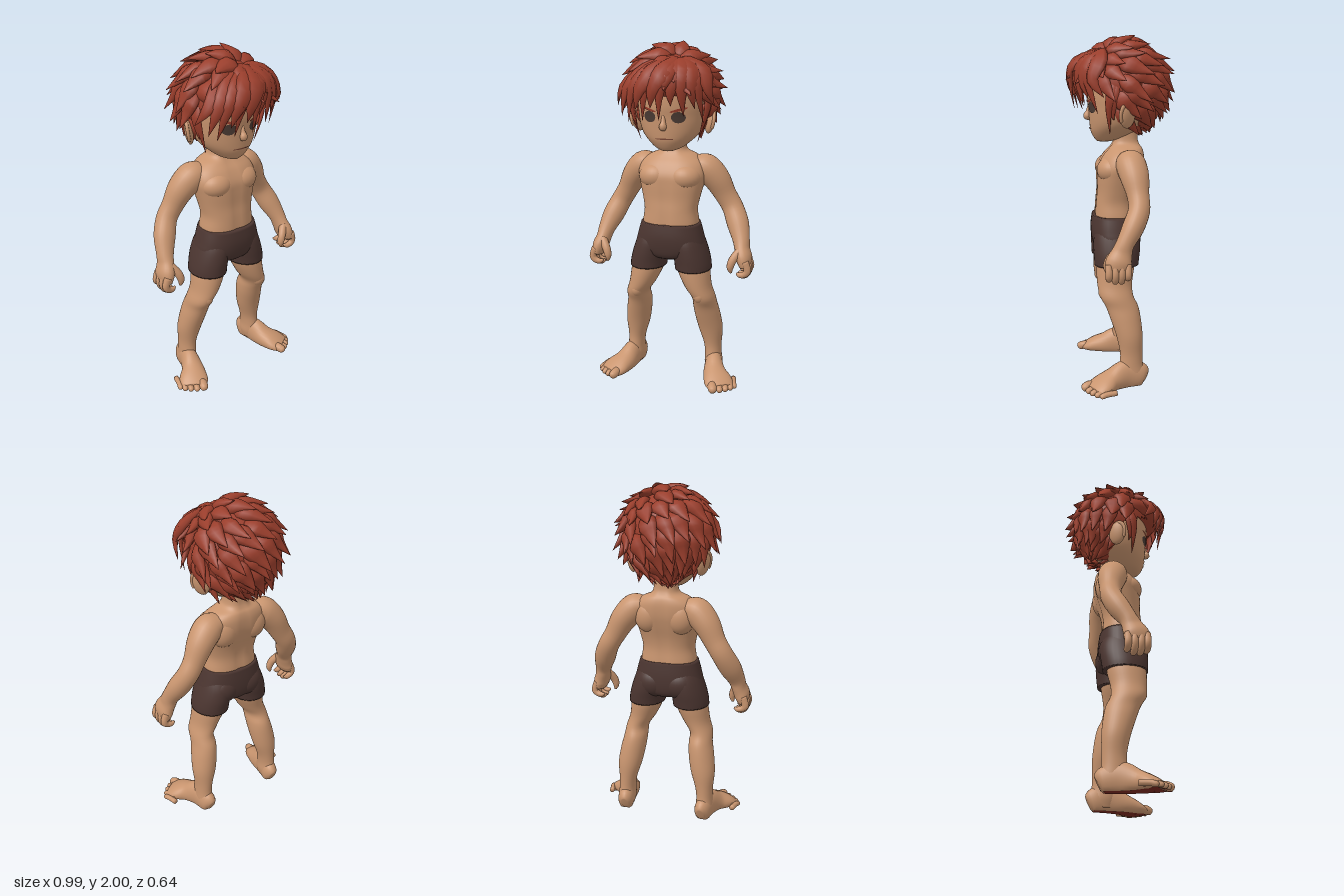
import * as THREE from 'three';
import { mergeGeometries, mergeVertices } from 'three/addons/utils/BufferGeometryUtils.js';

const V = (x, y, z) => new THREE.Vector3(x, y, z);
const mat = (name, color, side = THREE.FrontSide) => {
  const m = new THREE.MeshStandardMaterial({ color, side });
  m.name = name;
  return m;
};

// Catmull-Rom interpolation of rows of numbers
function smooth(rows, k) {
  const out = [], at = (i) => rows[Math.min(Math.max(i, 0), rows.length - 1)];
  for (let i = 0; i < rows.length - 1; i++) {
    for (let s = 0; s < k; s++) {
      const t = s / k;
      out.push(at(i).map((b, j) => {
        const a = at(i - 1)[j], c = at(i + 1)[j], d = at(i + 2)[j];
        return 0.5 * (2 * b + (c - a) * t + (2 * a - 5 * b + 4 * c - d) * t * t + (3 * b - a - 3 * c + d) * t ** 3);
      }));
    }
  }
  out.push(rows[rows.length - 1]);
  return out;
}

// Closed skin over rings of points
function skin(rings) {
  const n = rings[0].length, last = rings.length - 1, pts = rings.flat(), idx = [];
  const mid = (r) => r.reduce((s, p) => s.add(p), V(0, 0, 0)).divideScalar(n);
  pts.push(mid(rings[0]), mid(rings[last]));
  for (let j = 0; j < n; j++) {
    const k = (j + 1) % n;
    for (let i = 0; i < last; i++) {
      const a = i * n + j, b = i * n + k;
      idx.push(a, b, a + n, b, b + n, a + n);
    }
    idx.push(pts.length - 2, k, j, pts.length - 1, last * n + j, last * n + k);
  }
  const g = new THREE.BufferGeometry().setFromPoints(pts);
  g.setIndex(idx);
  g.computeVertexNormals();
  return g;
}

// Level rings, rows: [y, centre x, half width, front z, back z]
function loft(rows, { n = 32, groove = 0, power = 1 } = {}) {
  return skin(smooth([...rows].sort((a, b) => a[0] - b[0]), 4).map(([y, cx, rx, zf, zb]) =>
    Array.from({ length: n }, (_, j) => {
      const t = (j / n) * Math.PI * 2, pw = (v) => Math.sign(v) * Math.abs(v) ** power;
      const x = rx * pw(Math.sin(t));
      const dip = 1 - groove * Math.exp(-((x / 0.025) ** 2));
      return V(cx + x, y, (zf + zb) / 2 + ((zf - zb) / 2) * pw(Math.cos(t)) * dip);
    })));
}

// Rings across a path, rows: [x, y, z, half width, half height]
function tube(rows, ref, n = 16, k = 4) {
  const r = smooth(rows, k), p = r.map((q) => V(q[0], q[1], q[2]));
  return skin(r.map((q, i) => {
    const T = p[Math.min(i + 1, p.length - 1)].clone().sub(p[Math.max(i - 1, 0)]).normalize();
    const side = T.clone().cross(ref).normalize(), up = side.clone().cross(T);
    return Array.from({ length: n }, (_, j) => {
      const t = (j / n) * Math.PI * 2;
      return p[i].clone().addScaledVector(side, q[3] * Math.sin(t)).addScaledVector(up, q[4] * Math.cos(t));
    });
  }));
}

const ball = (x, y, z, rx, ry, rz) => new THREE.SphereGeometry(1, 28, 18).scale(rx, ry, rz).translate(x, y, z);

function mirrored(geo) {
  const g = mergeVertices(geo.clone()).scale(-1, 1, 1), a = g.index.array;
  for (let i = 0; i < a.length; i += 3) [a[i], a[i + 1]] = [a[i + 1], a[i]];
  return g;
}

export function createModel() {
  const group = new THREE.Group();
  const skinMat = mat('skin', 0xc9956f), hairMat = mat('red hair', 0x9a3e2c, THREE.DoubleSide);
  const shortsMat = mat('dark brown cloth', 0x4b3530), eyeMat = mat('dark eyes', 0x4a3a33, THREE.DoubleSide);
  const soleMat = mat('dark red soles', 0x7a2a20), lipMat = mat('mouth line', 0x7d4a38, THREE.DoubleSide);
  const add = (name, geo, m) => {
    const mesh = new THREE.Mesh(geo, m);
    mesh.name = name;
    group.add(mesh);
  };
  const pair = (name, geo, m) => {
    add(name + 'Left', geo, m);
    add(name + 'Right', mirrored(geo), m);
  };

  // Torso and neck
  add('torso', loft([[0.9, 0, 0.16, 0.158, -0.08], [0.97, 0, 0.166, 0.16, -0.08], [1.05, 0, 0.156, 0.155, -0.075],
    [1.12, 0, 0.168, 0.148, -0.085], [1.2, 0, 0.188, 0.148, -0.11], [1.26, 0, 0.2, 0.143, -0.125],
    [1.32, 0, 0.185, 0.112, -0.128], [1.36, 0, 0.14, 0.078, -0.12], [1.385, 0, 0.085, 0.06, -0.105],
    [1.42, 0, 0.068, 0.05, -0.095], [1.5, 0, 0.066, 0.05, -0.095]], { n: 48, groove: 0.06, power: 0.85 }), skinMat);
  pair('chestMuscle', ball(0.085, 1.245, 0.06, 0.1, 0.078, 0.09), skinMat);
  pair('shoulderBlade', ball(0.095, 1.25, -0.055, 0.085, 0.1, 0.071), skinMat);

  // Shorts
  add('shortsHips', loft([[0.755, 0, 0.06, 0.11, -0.05], [0.78, 0, 0.14, 0.158, -0.085], [0.83, 0, 0.205, 0.177, -0.098],
    [0.9, 0, 0.195, 0.184, -0.098], [0.975, 0, 0.174, 0.175, -0.09]], { n: 40, power: 0.85 }), shortsMat);
  pair('shortsLeg', loft([[0.7, 0.138, 0.108, 0.17, -0.085], [0.74, 0.134, 0.108, 0.172, -0.09],
    [0.8, 0.122, 0.105, 0.174, -0.097], [0.87, 0.105, 0.098, 0.168, -0.092], [0.94, 0.09, 0.085, 0.14, -0.06]]), shortsMat);
  pair('buttock', ball(0.08, 0.84, -0.03, 0.1, 0.09, 0.074), shortsMat);

  // Legs
  pair('leg', loft([[0.8, 0.125, 0.085, 0.15, -0.06], [0.7, 0.14, 0.096, 0.16, -0.062], [0.6, 0.17, 0.08, 0.157, -0.045],
    [0.53, 0.203, 0.068, 0.144, -0.048], [0.47, 0.207, 0.071, 0.112, -0.075], [0.4, 0.217, 0.076, 0.086, -0.09],
    [0.3, 0.233, 0.073, 0.053, -0.1], [0.2, 0.245, 0.054, 0.032, -0.098], [0.13, 0.25, 0.05, 0.035, -0.1],
    [0.07, 0.25, 0.052, 0.04, -0.113], [0.02, 0.25, 0.04, 0.03, -0.1]]), skinMat);
  pair('kneecap', ball(0.195, 0.55, 0.09, 0.045, 0.055, 0.062), skinMat);

  // Feet, flattened on the ground, with the flat underside as the sole
  const toes = [[0.31, 0.234, 0.026], [0.348, 0.218, 0.019], [0.378, 0.197, 0.018], [0.403, 0.172, 0.017], [0.42, 0.145, 0.016]];
  const foot = mergeGeometries([
    tube([[0.243, 0.045, -0.118, 0.022, 0.04], [0.246, 0.055, -0.09, 0.047, 0.075], [0.262, 0.068, 0, 0.053, 0.09],
      [0.285, 0.05, 0.08, 0.068, 0.066], [0.317, 0.036, 0.135, 0.085, 0.05], [0.338, 0.026, 0.17, 0.084, 0.037],
      [0.354, 0.018, 0.195, 0.073, 0.024]], V(0, 1, 0), 28),
    ...toes.map(([x, z, r]) => tube([[x * 0.85 + 0.042, 0.022, z - 0.08, r, r], [x - 0.008, r + 0.005, z - 0.025, r, r],
      [x, r - 0.001, z, r, r], [x + 0.003, r - 0.004, z + r * 0.7, r * 0.75, r * 0.75],
      [x + 0.004, r - 0.006, z + r, r * 0.2, r * 0.2]], V(0, 1, 0), 14))]);
  const fp = foot.attributes.position, upper = [], under = [];
  for (let i = 0; i < fp.count; i++) fp.setY(i, Math.max(fp.getY(i), 0.003));
  for (let i = 0; i < foot.index.count; i += 3) {
    const tri = [0, 1, 2].map((k) => foot.index.getX(i + k));
    (tri.every((v) => fp.getY(v) < 0.004) ? under : upper).push(...tri);
  }
  foot.setIndex([...upper, ...under]);
  foot.addGroup(0, upper.length, 0);
  foot.addGroup(upper.length, under.length, 1);
  foot.computeVertexNormals();
  pair('foot', foot, [skinMat, soleMat]);

  // Arms and half-curled hands
  const zAxis = V(0, 0, 1);
  pair('arm', tube([[0.09, 1.315, -0.03, 0.03, 0.05], [0.14, 1.305, -0.032, 0.062, 0.072], [0.19, 1.284, -0.035, 0.083, 0.085],
    [0.25, 1.22, -0.05, 0.077, 0.08], [0.3, 1.13, -0.062, 0.064, 0.062], [0.345, 1.055, -0.062, 0.062, 0.06],
    [0.385, 0.97, -0.025, 0.064, 0.06], [0.415, 0.89, 0.02, 0.05, 0.05], [0.427, 0.84, 0.04, 0.044, 0.058],
    [0.443, 0.79, 0.058, 0.046, 0.072], [0.452, 0.745, 0.062, 0.032, 0.066]], zAxis, 24), skinMat);
  const fingers = [0, 1, 2, 3].map((i) => {
    const z = 0.112 - 0.034 * i, l = [0.012, 0, 0, 0.016][i];
    return tube([[0.457, 0.785, z, 0.023, 0.021], [0.473, 0.735, z, 0.022, 0.02], [0.458, 0.697 + l, z, 0.019, 0.019],
      [0.43, 0.69 + l, z - 0.003, 0.016, 0.016], [0.41, 0.7 + l, z - 0.005, 0.006, 0.006]], zAxis, 12);
  });
  fingers.push(tube([[0.425, 0.84, 0.075, 0.026, 0.026], [0.388, 0.79, 0.108, 0.024, 0.024], [0.374, 0.745, 0.116, 0.02, 0.02],
    [0.379, 0.712, 0.112, 0.007, 0.007]], zAxis, 12));
  pair('fingers', mergeGeometries(fingers), skinMat);

  // Head
  const headRows = [[1.402, 0, 0.035, 0.14, 0.06], [1.42, 0, 0.08, 0.158, 0.0], [1.46, 0, 0.13, 0.178, -0.08],
    [1.5, 0, 0.165, 0.184, -0.13], [1.55, 0, 0.186, 0.188, -0.165], [1.6, 0, 0.195, 0.192, -0.185], [1.66, 0, 0.2, 0.2, -0.2],
    [1.75, 0, 0.198, 0.195, -0.2], [1.85, 0, 0.15, 0.15, -0.15], [1.91, 0, 0.05, 0.05, -0.05]];
  add('head', loft(headRows, { n: 48 }), skinMat);
  add('nose', tube([[0, 1.61, 0.18, 0.01, 0.012], [0, 1.57, 0.19, 0.014, 0.016], [0, 1.545, 0.199, 0.022, 0.021],
    [0, 1.528, 0.185, 0.012, 0.008]], zAxis, 14), skinMat);
  pair('ear', ball(0, 0, 0, 0.024, 0.072, 0.05).rotateY(0.55).rotateZ(-0.18).translate(0.213, 1.56, -0.012), skinMat);
  pair('earRim', new THREE.TorusGeometry(0.04, 0.01, 8, 24, Math.PI * 1.35).rotateZ(-0.5).scale(1, 1.45, 1)
    .rotateY(Math.PI / 2 + 0.55).rotateZ(-0.18).translate(0.223, 1.563, -0.006), skinMat);

  // Thin painted patches that follow the face
  const dense = smooth(headRows, 4);
  const patch = (x, y, rx, ry, rot, lift = 0.004) => {
    const g = new THREE.RingGeometry(0.001, 1, 28, 4).scale(rx, ry, 1).rotateZ(rot).translate(x, y, 0), p = g.attributes.position;
    for (let i = 0; i < p.count; i++) {
      const k = Math.max(1, dense.findIndex((r) => r[0] > p.getY(i))), a = dense[k - 1], b = dense[k];
      const f = (p.getY(i) - a[0]) / (b[0] - a[0]), [, , w, zf, zb] = a.map((v, j) => v + (b[j] - v) * f);
      p.setZ(i, (zf + zb) / 2 + ((zf - zb) / 2) * Math.sqrt(Math.max(0, 1 - (p.getX(i) / w) ** 2)) + lift);
    }
    g.computeVertexNormals();
    return g;
  };
  pair('eye', patch(0.082, 1.597, 0.037, 0.031, 0), eyeMat);
  pair('eyebrow', patch(0.085, 1.638, 0.047, 0.007, 0.25, 0.006), hairMat);
  add('mouth', patch(0, 1.476, 0.055, 0.004, 0), lipMat);

  // Hair: scalp shell with a low hairline at the back, fuller under the fringe
  const centre = V(0, 1.72, 0), radii = V(0.24, 0.24, 0.245);
  const shell = new THREE.SphereGeometry(0.95, 48, 20), sp = shell.attributes.position;
  for (let i = 0; i < sp.count; i++) {
    const a = (i % 49) / 48 * Math.PI * 2, t = Math.floor(i / 49) / 20 * (118 - 36 * Math.cos(a)) * Math.PI / 180;
    sp.setXYZ(i, 0.95 * Math.sin(t) * Math.sin(a), 0.95 * Math.cos(t), 0.95 * Math.sin(t) * Math.cos(a));
  }
  shell.scale(radii.x, radii.y, radii.z).translate(centre.x, centre.y, centre.z).computeVertexNormals();
  add('scalpHair', shell, hairMat);
  add('fringeBase', ball(-0.01, 1.79, 0.09, 0.205, 0.1, 0.185), hairMat);

  // Hair: overlapping pointed locks fanning out from the crown
  let seed = 7;
  const rnd = () => (seed = (seed * 16807) % 2147483647) / 2147483647;
  const lock = (pts, w, flat = 0.5) => {
    const prof = [0.7, 1, 0.62, 0.015];
    return tube(pts.map((p, i) => [p.x, p.y, p.z, w * prof[i], w * prof[i] * flat]), pts[1].clone().sub(centre).normalize(), 8, 3);
  };
  const tilt = new THREE.Quaternion().setFromUnitVectors(V(0, 1, 0), V(0.2, 0.86, 0.46).normalize());
  const dir = (t, a) => V(Math.sin(t) * Math.sin(a), Math.cos(t), Math.sin(t) * Math.cos(a)).applyQuaternion(tilt);
  const locks = [];
  [[0.05, 7], [0.35, 11], [0.7, 14], [1.05, 15], [1.4, 16], [1.75, 15], [2.05, 14], [2.35, 13]].forEach(([t0, n], layer) => {
    for (let i = 0; i < n; i++) {
      const a = ((i + (layer % 2) / 2 + rnd() * 0.4) / n) * Math.PI * 2, t = t0 + rnd() * 0.14, len = 0.58 + rnd() * 0.16;
      const out = 1.27 - 0.13 * Math.max(0, dir(t + len, a).y) + rnd() * 0.08;
      const pts = [0.86, 0.99, 1.08, out].map((k, j) =>
        dir(t + (len * j) / 3, a + j * 0.09).multiplyScalar(k).multiply(radii).add(centre));
      const tip = pts[3];
      if ((tip.z > -0.06 && tip.y < 1.6) || (tip.z > 0.09 && tip.y < 1.72) || tip.y < 1.42) continue;
      locks.push(lock(pts, 0.045 + 0.015 * rnd(), 0.6));
    }
  });
  add('hairLocks', mergeGeometries(locks), hairMat);

  // Fringe swept from a parting, rows: [tip x, tip y, tip z, bulge z, half width]
  const fringe = [[-0.28, 1.65, 0.14, 0.2, 0.055], [-0.235, 1.6, 0.2, 0.235, 0.06], [-0.19, 1.57, 0.215, 0.262, 0.055],
    [-0.135, 1.64, 0.262, 0.285, 0.06], [-0.1, 1.58, 0.245, 0.28, 0.045], [-0.045, 1.655, 0.28, 0.297, 0.058],
    [0.0, 1.59, 0.27, 0.292, 0.045], [0.06, 1.665, 0.25, 0.265, 0.05], [0.125, 1.61, 0.225, 0.25, 0.055],
    [0.18, 1.65, 0.2, 0.23, 0.055], [0.215, 1.57, 0.15, 0.205, 0.05], [0.27, 1.66, 0.12, 0.18, 0.055]];
  add('fringe', mergeGeometries(fringe.map(([x, y, z, b, w]) => lock([V(0.07 + x * 0.15, 1.9, 0.13),
    V(0.05 + x * 0.6, 1.845, b - 0.035), V(x * 0.87 + 0.012, 1.75, b), V(x, y, z)], w))), hairMat);
  pair('sideLock', mergeGeometries([[0.165, 1.45, 0.08], [0.195, 1.53, 0.06]].map(([x, y, z]) =>
    lock([V(0.2, 1.74, z - 0.02), V(0.222, 1.67, z), V(0.207, 1.58, z + 0.01), V(x, y, z)], 0.028))), hairMat);

  return group;
}
